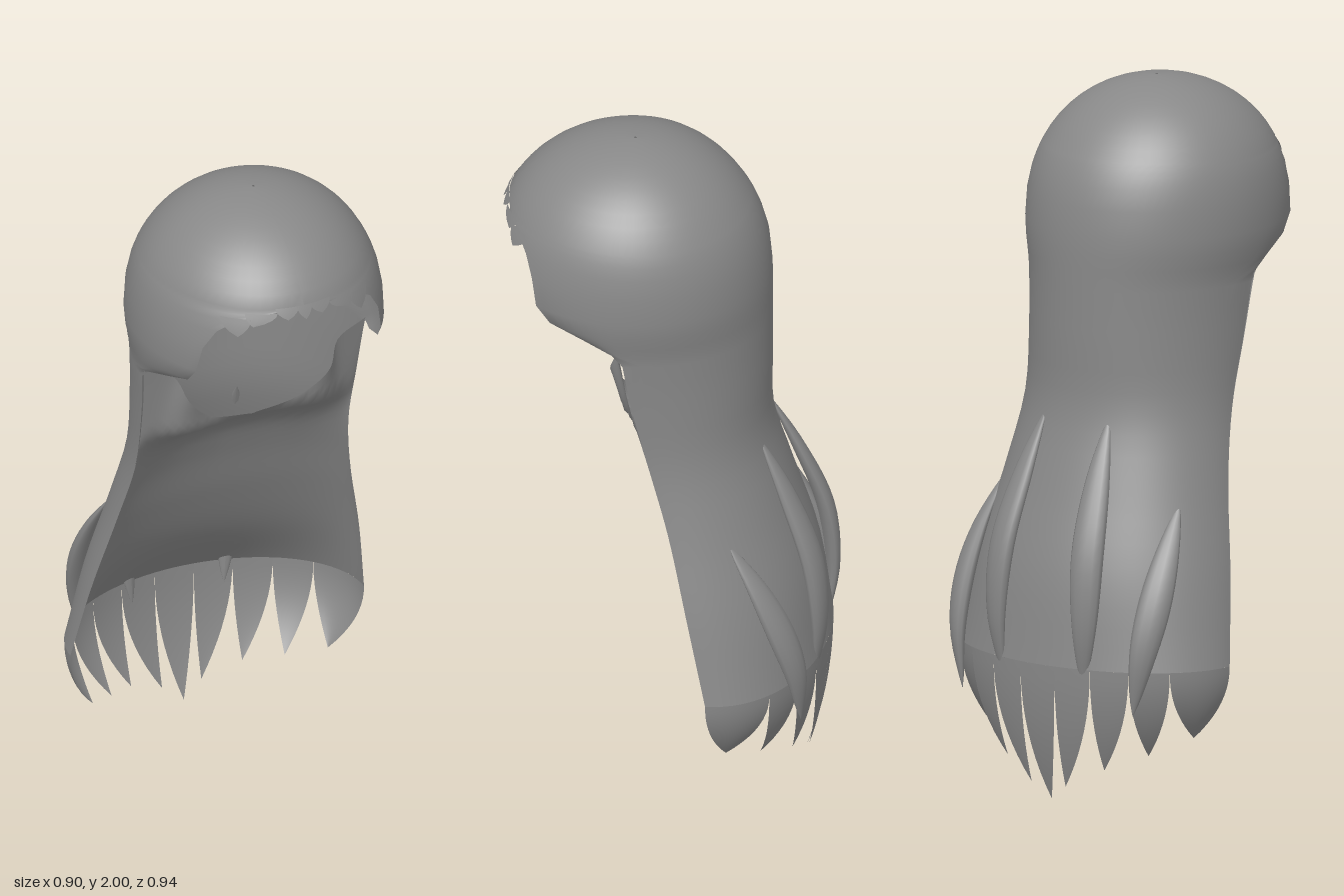
import * as THREE from 'three';

const lerp = THREE.MathUtils.lerp;
const rad = THREE.MathUtils.degToRad;

// Sections below the dome: y, half width, z of widest point, front z, back z
const SECTIONS = [
  [1.6, 0.36, 0.1, 0.5, -0.285], [1.55, 0.355, 0.1, 0.46, -0.287], [1.5, 0.346, 0.1, 0.3, -0.287],
  [1.45, 0.339, 0.095, 0.1, -0.287], [1.3, 0.33, 0.07, 0.1, -0.287], [1.1, 0.327, 0.02, 0.1, -0.29],
  [0.9, 0.357, -0.037, 0, -0.345], [0.65, 0.41, -0.096, 0, -0.42], [0.4, 0.45, -0.152, 0, -0.455],
];

// Half angle of the face opening: y, degrees
const OPENING = [[1.81, 0], [1.795, 20], [1.775, 34], [1.74, 43], [1.68, 49], [1.6, 52],
  [1.55, 55], [1.51, 62], [1.48, 76], [1.45, 90]];

// Depth of the hollow front at its centre line: y, z
const HOLLOW = [[1.235, 0.09], [1.12, -0.06], [1.0, -0.125], [0.8, -0.2], [0.6, -0.3], [0.4, -0.455]];

// Smooth lookup in a table sorted by falling y
function lookup(table, y) {
  const last = table.length - 1;
  if (y >= table[0][0]) return table[0];
  if (y <= table[last][0]) return table[last];
  const i = table.findIndex((row) => row[0] <= y);
  const a = table[i - 1], b = table[i];
  const before = table[Math.max(i - 2, 0)], after = table[Math.min(i + 1, last)];
  const h = b[0] - a[0], t = (y - a[0]) / h;
  return a.map((p, k) => {
    const m0 = (b[k] - before[k]) / (b[0] - before[0]) * h;
    const m1 = (after[k] - a[k]) / (after[0] - a[0]) * h;
    return p + t * m0 + t * t * (3 * (b[k] - p) - 2 * m0 - m1) + t ** 3 * (2 * (p - b[k]) + m0 + m1);
  });
}

// Section at any height, with a rounded dome on top
function section(y) {
  if (y <= 1.6) return lookup(SECTIONS, y);
  const t = (y - 1.6) / 0.4;
  const full = Math.sqrt(Math.max(1 - t ** 2.4, 1e-4));
  const round = Math.sqrt(Math.max(1 - t * t, 1e-4));
  return [y, 0.36 * full, 0.1, 0.1 + 0.4 * full, 0.1 - 0.385 * round];
}

// Point on the outer hair at a height and an angle from the front (radians)
function hairPoint(y, a, lift = 0) {
  const [, w, zm, zf, zb] = section(y);
  const c = Math.cos(a);
  return [(w + lift) * Math.sin(a), y, zm + c * (c > 0 ? zf - zm + lift : zm - zb + lift)];
}

// Smooth grid surface from a rule (u to the right, v downwards)
function surface(nu, nv, rule) {
  const pos = [], index = [];
  for (let j = 0; j <= nv; j++) {
    for (let i = 0; i <= nu; i++) pos.push(...rule(i / nu, j / nv, j));
  }
  for (let j = 0; j < nv; j++) {
    for (let i = 0; i < nu; i++) {
      const a = j * (nu + 1) + i, b = a + nu + 1;
      index.push(a, b, a + 1, a + 1, b, b + 1);
    }
  }
  const g = new THREE.BufferGeometry();
  g.setAttribute('position', new THREE.Float32BufferAttribute(pos, 3));
  g.setIndex(index);
  g.computeVertexNormals();
  return g;
}

export function createModel() {
  const model = new THREE.Group();
  const hair = new THREE.MeshStandardMaterial({ color: 0x888888, side: THREE.DoubleSide });
  hair.name = 'hairGrey';
  const add = (name, geometry) => {
    const mesh = new THREE.Mesh(geometry, hair);
    mesh.name = name;
    model.add(mesh);
  };

  // Cap and long back, open at the face
  const heights = [];
  for (let i = 0; i < 10; i++) heights.push(1.6 + 0.4 * Math.cos(i * 0.102));
  OPENING.forEach(([y]) => heights.push(y));
  for (let i = 1; i <= 18; i++) heights.push(lerp(1.45, 0.4, i / 18));
  const outer = surface(64, heights.length - 1, (u, v, j) => {
    const a0 = rad(lookup(OPENING, heights[j])[1]);
    return hairPoint(heights[j], lerp(a0, 2 * Math.PI - a0, u));
  });
  // Even out the normals where the cap closes on the centre line
  const p = outer.attributes.position, n = outer.attributes.normal;
  for (let i = 0; i < p.count; i++) {
    if (Math.abs(p.getX(i)) < 1e-5) {
      const l = Math.hypot(n.getY(i), n.getZ(i)) || 1;
      n.setXYZ(i, 0, n.getY(i) / l, n.getZ(i) / l);
    }
  }
  add('outerHair', outer);

  // Hollow front from the chin rim down to the strand roots
  const rim = new THREE.CatmullRomCurve3([
    [0.34, 1.48, 0.11], [0.25, 1.435, 0.12], [0.215, 1.36, 0.145],
    [0.13, 1.27, 0.11], [0, 1.235, 0.09],
  ].map((q) => new THREE.Vector3(...q)));
  const hollowPoint = (y, u) => {
    const [, w, zm] = section(y);
    const zc = lookup(HOLLOW, y)[1];
    return [-w * Math.cos(Math.PI * u), y, zm + (zc - zm) * Math.sin(Math.PI * u)];
  };
  add('hollowFront', surface(48, 28, (u, v) => {
    const r = rim.getPoint(1 - Math.abs(2 * u - 1));
    if (u < 0.5) r.x *= -1;
    const top = hollowPoint(r.y, u);
    const q = hollowPoint(lerp(r.y, 0.4, v), u);
    const k = (1 - v) ** 5;
    return [q[0] + (r.x - top[0]) * k, q[1], q[2] + (r.z - top[2]) * k];
  }));

  // Pointed strands along the lower hem: inner x, outer x, tip
  const hem = [
    [-0.06, 0.06, 0, 0, -0.385], [0.06, 0.17, 0.06, 0.045, -0.4],
    [0.17, 0.275, 0.17, 0.1, -0.365], [0.275, 0.37, 0.265, 0.14, -0.285],
    [0.37, 0.45, 0.36, 0.19, -0.2],
  ];
  const hemAngle = (x) => Math.PI - Math.asin(x / 0.45);
  hem.forEach(([x0, x1, tx, ty, tz], k) => {
    for (const s of k ? [1, -1] : [1]) {
      add('hemStrand', surface(8, 10, (u, v) => {
        const a = lerp(hemAngle(x1), hemAngle(x0), s > 0 ? u : 1 - u);
        const q = hairPoint(0.4, a);
        const f = v ** 2.1;
        return [s * lerp(q[0], tx, f), lerp(0.4, ty, v), lerp(q[2], tz, f)];
      }));
    }
  });

  // Raised locks on the back, tapered to both ends
  const locks = [
    [[0.11, 1.09, -0.265], [0.13, 0.92, -0.345], [0.15, 0.72, -0.418], [0.155, 0.52, -0.44], [0.14, 0.33, -0.425]],
    [[0.31, 0.86, -0.2], [0.33, 0.72, -0.29], [0.335, 0.58, -0.355], [0.325, 0.44, -0.395], [0.3, 0.28, -0.405]],
  ];
  for (const path of locks) {
    for (const s of [1, -1]) {
      const curve = new THREE.CatmullRomCurve3(path.map(([x, y, z]) => new THREE.Vector3(s * x, y, z)));
      const turn = s * Math.atan2(path[2][0], 0.45);
      add('backLock', surface(12, 18, (u, v) => {
        const c = curve.getPoint(v), a = 2 * Math.PI * u;
        const r = Math.max(Math.sin(Math.PI * v), 0) ** 0.8;
        const dx = 0.048 * r * Math.sin(a), dz = 0.026 * r * Math.cos(a);
        return [c.x + dx * Math.cos(turn) - dz * Math.sin(turn), c.y,
          c.z + dx * Math.sin(turn) + dz * Math.cos(turn)];
      }));
    }
  }

  // Small fringe tufts: start angle, end angle, root y, tip angle, tip y
  const tufts = [[-4, 4, 1.812, 0, 1.775], [3, 15, 1.812, 9, 1.78],
    [14, 30, 1.8, 26, 1.765], [27, 42, 1.785, 33, 1.735]];
  tufts.forEach(([a0, a1, y0, at, y1], k) => {
    for (const s of k ? [1, -1] : [1]) {
      add('fringeTuft', surface(4, 4, (u, v) => {
        const a = lerp(lerp(a0, a1, s > 0 ? u : 1 - u), at, v * v);
        return hairPoint(lerp(y0, y1, v), s * rad(a), 0.002);
      }));
    }
  });

  return model;
}
